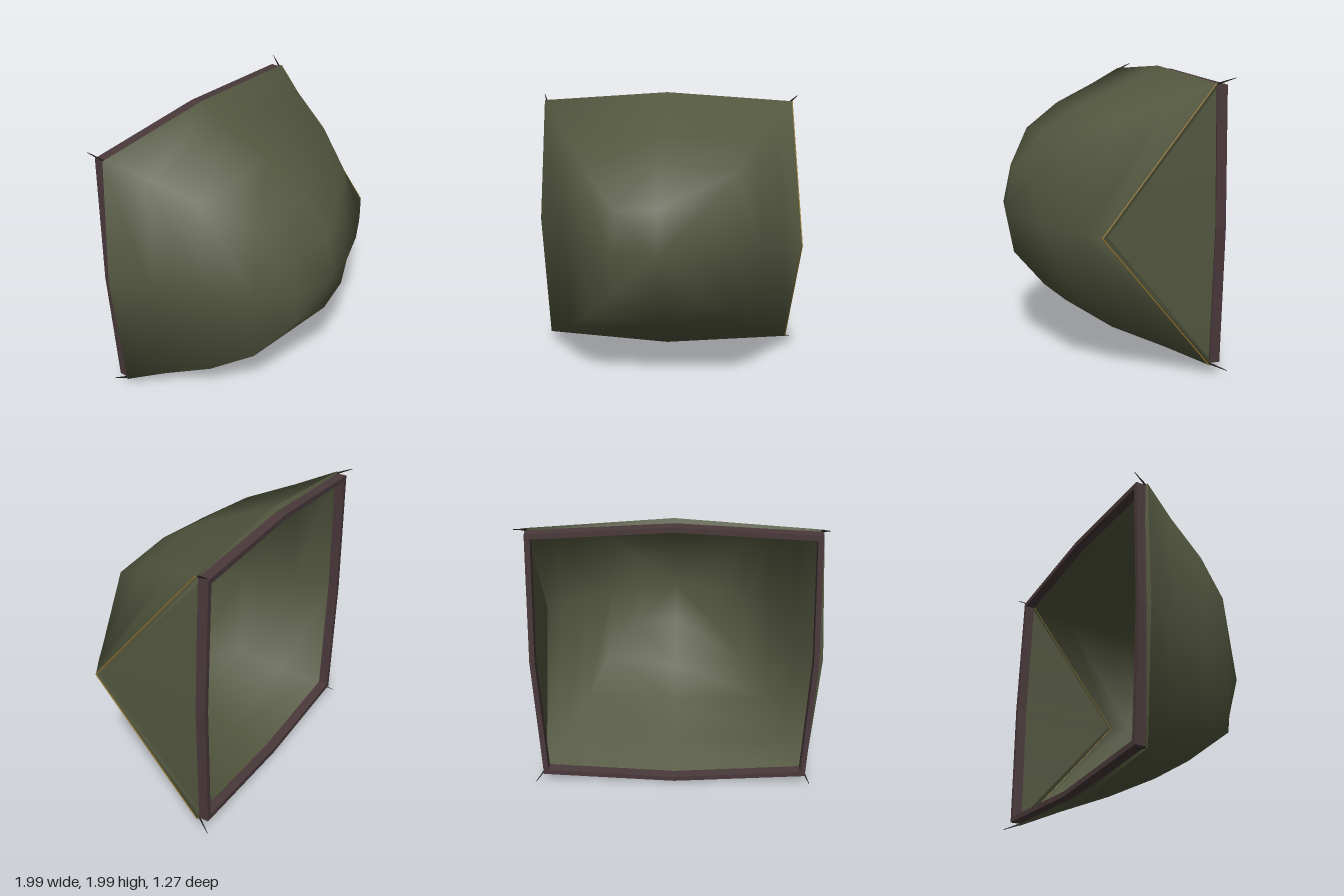
import * as THREE from 'three';

const mat = (name, color, side = THREE.FrontSide) => {
  const m = new THREE.MeshStandardMaterial({ color, side });
  m.name = name;
  return m;
};

// Eight points around the opening: left middle, corner, top, corner, right middle, ...
// l = left middle [x, z], r = right middle [x, z], t = top [half height, z], c = corner [x, half height, z]
function ring({ l, r, t, c }) {
  const [cx, cy, cz] = c;
  return [
    [l[0], 1, l[1]], [cx, 1 + cy, cz], [0, 1 + t[0], t[1]], [-cx, 1 + cy, cz],
    [r[0], 1, r[1]], [-cx, 1 - cy, cz], [0, 1 - t[0], t[1]], [cx, 1 - cy, cz],
  ];
}

// Skin between successive rings, with an optional tip point closing the first ring
function skin(rings, tip) {
  const pos = rings.flat(2), index = [];
  for (let k = 0; k < rings.length - 1; k++) {
    for (let i = 0; i < 8; i++) {
      const a = k * 8 + i, b = k * 8 + (i + 1) % 8;
      index.push(a, a + 8, b, b, a + 8, b + 8);
    }
  }
  if (tip) {
    const n = pos.length / 3;
    pos.push(...tip);
    for (let i = 0; i < 8; i++) index.push(n, i, (i + 1) % 8);
  }
  const g = new THREE.BufferGeometry();
  g.setAttribute('position', new THREE.Float32BufferAttribute(pos, 3));
  g.setIndex(index);
  g.computeVertexNormals();
  return g;
}

// Thin round rod between two points
function rod(a, b, r0, r1, material, name) {
  const A = new THREE.Vector3(...a), B = new THREE.Vector3(...b);
  const d = B.clone().sub(A);
  const m = new THREE.Mesh(new THREE.CylinderGeometry(r1, r0, d.length(), 6), material);
  m.position.copy(A).add(B).multiplyScalar(0.5);
  m.quaternion.setFromUnitVectors(new THREE.Vector3(0, 1, 0), d.normalize());
  m.name = name;
  return m;
}

export function createModel() {
  const group = new THREE.Group();
  const green = mat('olive fabric', 0x53573f, THREE.DoubleSide);
  const brown = mat('brown frame', 0x4a393b);
  const gold = mat('gold piping', 0x9a7a2c);
  const black = mat('dark cord', 0x1c1b18);
  const add = (name, geometry, material) => {
    const m = new THREE.Mesh(geometry, material);
    m.name = name;
    group.add(m);
    return m;
  };

  // Domed canopy, from the tip outwards to the rim
  const rings = [
    { l: [0.30, 0.57], r: [-0.33, 0.58], t: [0.30, 0.58], c: [0.29, 0.28, 0.53] },
    { l: [0.50, 0.505], r: [-0.55, 0.36], t: [0.56, 0.36], c: [0.52, 0.52, 0.35] },
    { l: [0.70, 0.405], r: [-0.70, 0.09], t: [0.74, 0.08], c: [0.67, 0.69, 0.07] },
    { l: [0.85, 0.32], r: [-0.85, -0.28], t: [0.88, -0.25], c: [0.81, 0.82, -0.26] },
    { l: [0.98, 0.24], r: [-1.0, -0.53], t: [0.995, -0.5], c: [0.94, 0.93, -0.52] },
  ].map(ring);
  add('canopy', skin(rings, [0, 1, 0.637]), green);

  // Hem folded inwards behind the rim
  const hem = ring({ l: [0.955, 0.2], r: [-0.95, -0.55], t: [0.96, -0.545], c: [0.915, 0.905, -0.545] });
  add('hem', skin([rings[4], hem]), green);

  // Triangular side panel behind the notch
  const panel = new THREE.BufferGeometry();
  panel.setAttribute('position', new THREE.Float32BufferAttribute(
    [...hem[0], ...hem[7], 0.955, 1, -0.545, ...hem[1]], 3));
  panel.setIndex([0, 1, 2, 0, 2, 3]);
  panel.computeVertexNormals();
  add('sidePanel', panel, green);

  // Frame around the rear opening
  const outline = (mx, my, cx, cy) => [
    [mx, 0], [cx, cy], [0, my], [-cx, cy], [-mx, 0], [-cx, -cy], [0, -my], [cx, -cy],
  ].map(([x, y]) => new THREE.Vector2(x, y));
  const shape = new THREE.Shape(outline(0.965, 0.972, 0.93, 0.92));
  shape.holes.push(new THREE.Path(outline(0.93, 0.937, 0.895, 0.885)));
  const frame = add('rearFrame',
    new THREE.ExtrudeGeometry(shape, { depth: 0.07, bevelEnabled: false }), brown);
  frame.position.set(0, 1, -0.6);

  // Piping on the notch edge and a short cord at every corner
  const [, top, , , , , , bottom] = rings[4];
  for (const end of [top, bottom]) {
    group.add(rod(rings[4][0], end, 0.004, 0.004, gold, 'notchPiping'));
  }
  for (const sx of [-1, 1]) {
    for (const sy of [-1, 1]) {
      group.add(rod([sx * 0.925, 1 + sy * 0.925, -0.53], [sx * (sx > 0 ? 0.985 : 0.96), 1 + sy * 0.965, -0.63],
        0.007, 0.002, black, 'cornerCord'));
    }
  }
  return group;
}
